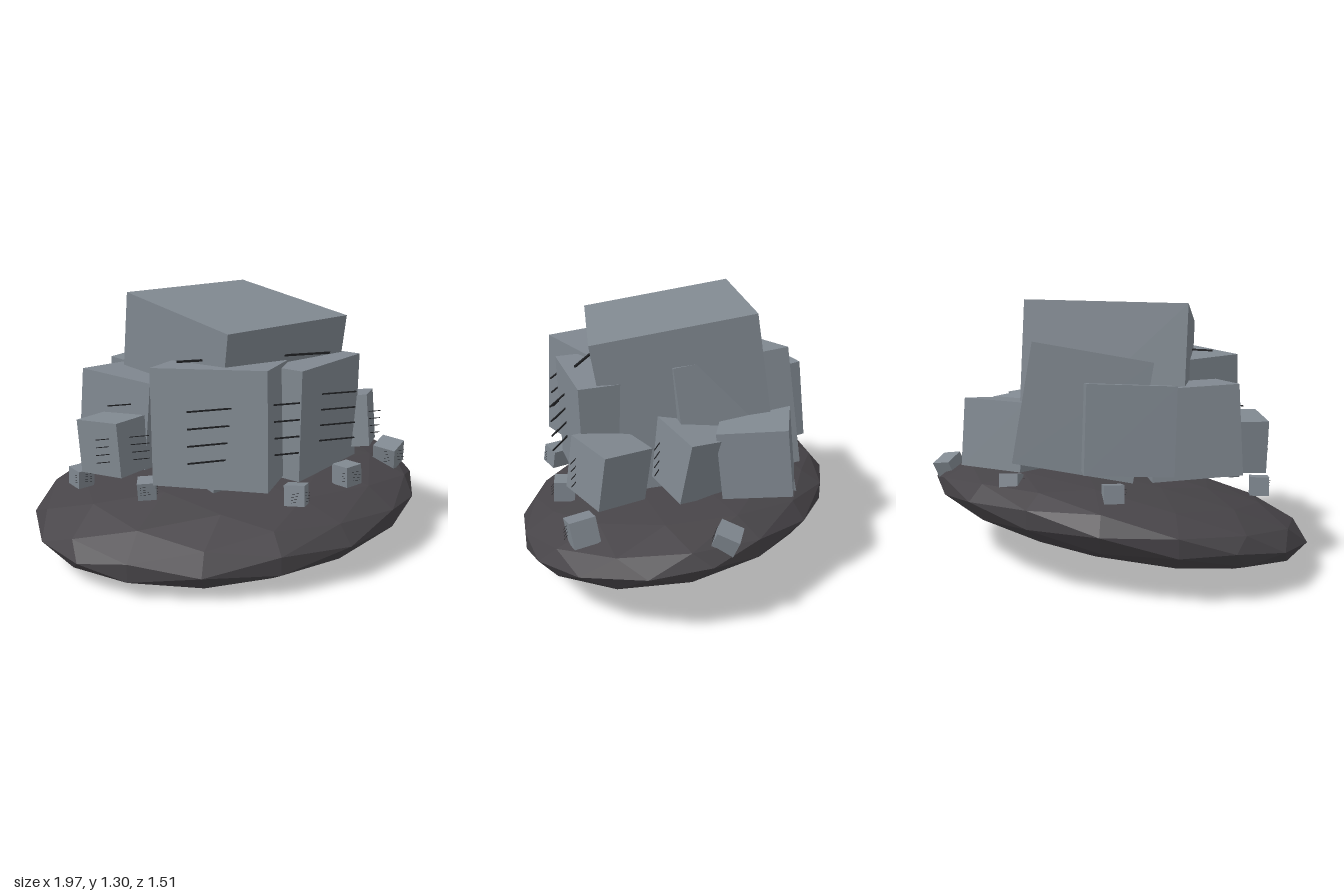
import * as THREE from 'three';

export function createModel() {
  const model = new THREE.Group();
  model.name = 'blockSettlement';

  const material = (name, color, flat) => {
    const m = new THREE.MeshStandardMaterial({ color });
    m.name = name;
    m.flatShading = flat;
    return m;
  };
  const stone = material('blueGreyStone', 0x808890, true);
  const rock = material('darkRock', 0x474448, true);
  const slit = material('blackSlit', 0x202124, true);

  // Flattened, tilted faceted island
  const island = new THREE.IcosahedronGeometry(1.005, 2);
  const p = island.attributes.position;
  for (let i = 0; i < p.count; i++) {
    const x = p.getX(i), y = p.getY(i), z = p.getZ(i) * 0.765;
    p.setXYZ(i, x, 0.25 + 0.216 * y + 0.075 * x - 0.13 * z, z);
  }
  island.computeVertexNormals();
  const islandMesh = new THREE.Mesh(island, rock);
  islandMesh.name = 'island';
  model.add(islandMesh);

  // Leaning cube given by centre, size, heading in degrees and lean of its up axis,
  // crossed by four thin level bars that emerge from its walls
  function addCube(name, centre, size, heading, leanX, leanZ) {
    const group = new THREE.Group();
    group.name = name;
    group.position.copy(centre);

    const a = THREE.MathUtils.degToRad(heading);
    const up = new THREE.Vector3(leanX, 1, leanZ).normalize();
    const side = new THREE.Vector3(Math.cos(a), 0, -Math.sin(a));
    side.addScaledVector(up, -side.dot(up)).normalize();
    const front = new THREE.Vector3().crossVectors(side, up);
    const body = new THREE.Mesh(new THREE.BoxGeometry(size, size, size), stone);
    body.name = name + 'Body';
    body.quaternion.setFromRotationMatrix(new THREE.Matrix4().makeBasis(side, up, front));
    group.add(body);

    for (let i = 0; i < 4; i++) {
      const bar = new THREE.Mesh(
        new THREE.BoxGeometry(size * 0.97, size * 0.012, size * 0.012), slit);
      bar.name = name + 'Slit';
      bar.position.set(0, size * (0.225 - i * 0.144), size * 0.505);
      group.add(bar);
    }
    model.add(group);
  }

  // Buildings: name, centre of roof, size, heading, lean x, lean z
  const buildings = [
    ['mainBlock', 0.02, 1.234, 0.055, 0.766, 23.1, 0.043, 0.154],
    ['frontRightBlock', -0.13, 1.005, 0.34, 0.53, -34.3, 0.01, -0.07],
    ['frontLeftBlock', 0.22, 0.997, 0.22, 0.52, 34.4, 0, 0.02],
    ['leftBlock', 0.583, 0.765, 0.135, 0.26, 56, -0.03, -0.14],
    ['leftRearBlock', 0.385, 0.8, -0.225, 0.3, 49.6, 0.03, -0.19],
    ['rearLeftBlock', 0.3, 0.825, -0.455, 0.32, 7, 0, 0.12],
    ['rearBlock', 0.01, 1.045, -0.185, 0.56, 33, -0.1, 0.17],
    ['rearRightBlock', -0.255, 0.92, -0.31, 0.4, 37, 0.03, 0.11],
    ['rightBlock', -0.425, 0.905, -0.065, 0.42, 38.5, 0.08, 0.02],
    ['rightFrontBlock', -0.61, 0.74, 0.145, 0.255, 36, -0.05, -0.06],
  ];
  for (const [name, x, y, z, size, heading, lx, lz] of buildings) {
    const down = new THREE.Vector3(lx, 1, lz).normalize().multiplyScalar(-size / 2);
    addCube(name, new THREE.Vector3(x, y, z).add(down), size, heading, lx, lz);
  }

  // Small cubes scattered around the settlement: centre, size, heading, lean
  const smallCubes = [
    [-0.77, 0.43, 0.055, 0.088, 25, 0.05, 0.1],
    [-0.505, 0.43, 0.325, 0.085, -15, -0.08, 0.1],
    [0.12, 0.432, 0.62, 0.095, -35, 0.05, -0.18],
    [0.465, 0.432, 0.43, 0.1, 20, -0.04, -0.03],
    [0.82, 0.436, 0.2, 0.12, 38, -0.15, 0.25],
    [0.735, 0.44, -0.43, 0.105, 5, 0.15, -0.4],
    [0.2, 0.455, -0.6, 0.09, 20, 0.1, 0.2],
    [-0.3, 0.45, -0.51, 0.09, 40, 0.1, 0.15],
  ];
  for (const [x, y, z, size, heading, lx, lz] of smallCubes) {
    addCube('smallCube', new THREE.Vector3(x, y, z), size, heading, lx, lz);
  }

  return model;
}
